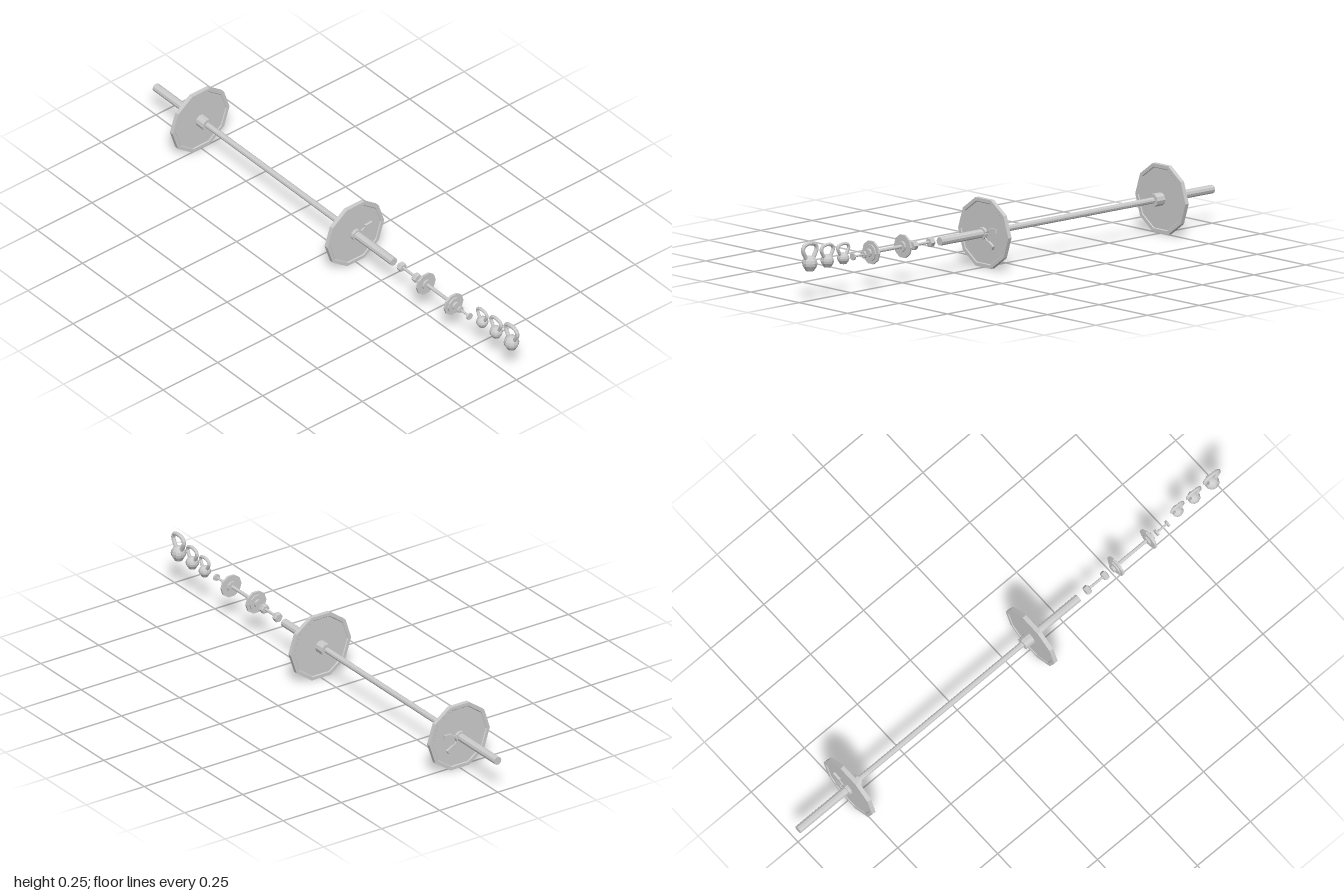
import * as THREE from 'three';

const grey = new THREE.MeshStandardMaterial({ color: 0xcccccc, flatShading: true });

function mesh(name, geometry) {
  const m = new THREE.Mesh(geometry, grey);
  m.name = name;
  return m;
}

// Turned solid along the x axis from [x, radius] pairs; side -1 mirrors it
function turned(name, profile, side = 1, sides = 10) {
  const pts = profile.map(([x, r]) => new THREE.Vector2(r, x * side));
  if (side < 0) pts.reverse();
  const g = new THREE.LatheGeometry(pts, sides);
  g.rotateZ(-Math.PI / 2);
  return mesh(name, g);
}

const rod = (name, x0, x1, r, side = 1) =>
  turned(name, [[x0, 0], [x0, r], [x1, r], [x1, 0]], side);

// Spring clip: ring plus two finger tabs at the back
function clip(side) {
  const g = new THREE.Group();
  g.name = 'clip';
  g.add(rod('clipRing', 0.435, 0.447, 0.022, side));
  for (const [y, z, tilt] of [[0.016, -0.055, -0.1], [-0.038, -0.042, 0.55]]) {
    const tab = mesh('clipTab', new THREE.BoxGeometry(0.009, 0.016, 0.032));
    tab.position.set(side * 0.441, y, z);
    tab.rotation.x = -tilt;
    g.add(tab);
  }
  // Wire arms joining tabs to the ring
  for (const [y, z] of [[0.016, -0.045], [-0.032, -0.034]]) {
    const path = new THREE.LineCurve3(
      new THREE.Vector3(side * 0.441, y * 0.3, z * 0.3), new THREE.Vector3(side * 0.441, y, z));
    g.add(mesh('clipArm', new THREE.TubeGeometry(path, 1, 0.003, 5)));
  }
  return g;
}

function barbell() {
  const g = new THREE.Group();
  g.name = 'barbell';
  g.add(rod('shaft', -0.40, 0.40, 0.011));
  for (const s of [-1, 1]) {
    const end = s < 0 ? 0.672 : 0.648;
    g.add(rod('sleeve', 0.39, end, 0.0155, s));
    g.add(rod('hub', 0.385, 0.425, 0.0235, s));
    // Plate with a raised rim on both faces
    g.add(turned('weightPlate', [
      [0.424, 0], [0.424, 0.114], [0.421, 0.117], [0.421, 0.13],
      [0.437, 0.13], [0.437, 0.117], [0.434, 0.114], [0.434, 0]], s));
    g.add(clip(s));
  }
  g.position.set(-0.328, 0.1237, 0);
  return g;
}

// Dumbbell: handle plus a mirrored head profile
function dumbbell(name, x, y, half, handleR, head, sides) {
  const g = new THREE.Group();
  g.name = name;
  g.add(rod('handle', -half * 0.95, half * 0.95, handleR));
  for (const s of [-1, 1]) g.add(turned('head', head, s, sides));
  g.position.set(x, y, 0);
  return g;
}

// Kettlebell: faceted ball with a flat base and a looped handle
function kettlebell(x, base, width, height) {
  const g = new THREE.Group();
  g.name = 'kettlebell';
  const profile = [new THREE.Vector2(0, 0.001), new THREE.Vector2(0.015, 0.001)];
  for (let i = 0; i <= 6; i++) {
    const a = -0.75 + (i / 6) * (Math.PI / 2 + 0.75);
    profile.push(new THREE.Vector2(Math.max(0, 0.028 * Math.cos(a)), 0.029 + 0.028 * Math.sin(a)));
  }
  g.add(mesh('ball', new THREE.LatheGeometry(profile, 10)));
  const loop = [[-0.016, 0.044], [-0.025, 0.06], [-0.033, 0.077], [-0.028, 0.092], [-0.012, 0.0985],
    [0.012, 0.0985], [0.028, 0.092], [0.033, 0.077], [0.025, 0.06], [0.016, 0.044]];
  const curve = new THREE.CatmullRomCurve3(loop.map(([px, py]) => new THREE.Vector3(px, py, 0)));
  g.add(mesh('handle', new THREE.TubeGeometry(curve, 18, 0.0075, 8)));
  g.scale.set(width, height, width);
  g.position.set(x, base, -0.011);
  return g;
}

export function createModel() {
  const root = new THREE.Group();
  root.name = 'weightSet';
  root.add(barbell());

  // Small dumbbell with block heads
  root.add(dumbbell('blockDumbbell', 0.404, 0.128, 0.051, 0.005,
    [[0.031, 0], [0.031, 0.014], [0.034, 0.018], [0.048, 0.018], [0.051, 0.014], [0.051, 0]], 6));

  // Dumbbell with stacked plates
  root.add(dumbbell('plateDumbbell', 0.574, 0.132, 0.096, 0.0065,
    [[0.066, 0], [0.066, 0.02], [0.073, 0.02], [0.073, 0.043], [0.081, 0.043],
      [0.081, 0.031], [0.087, 0.031], [0.087, 0.015], [0.096, 0.015], [0.096, 0]], 10));

  // Light dumbbell with thin discs
  root.add(dumbbell('lightDumbbell', 0.714, 0.129, 0.029, 0.004,
    [[0.022, 0], [0.022, 0.013], [0.029, 0.013], [0.029, 0]], 10));

  root.add(kettlebell(0.797, 0.113, 0.8, 0.73));
  root.add(kettlebell(0.874, 0.112, 0.87, 0.82));
  root.add(kettlebell(0.959, 0.11, 1, 1));
  return root;
}
